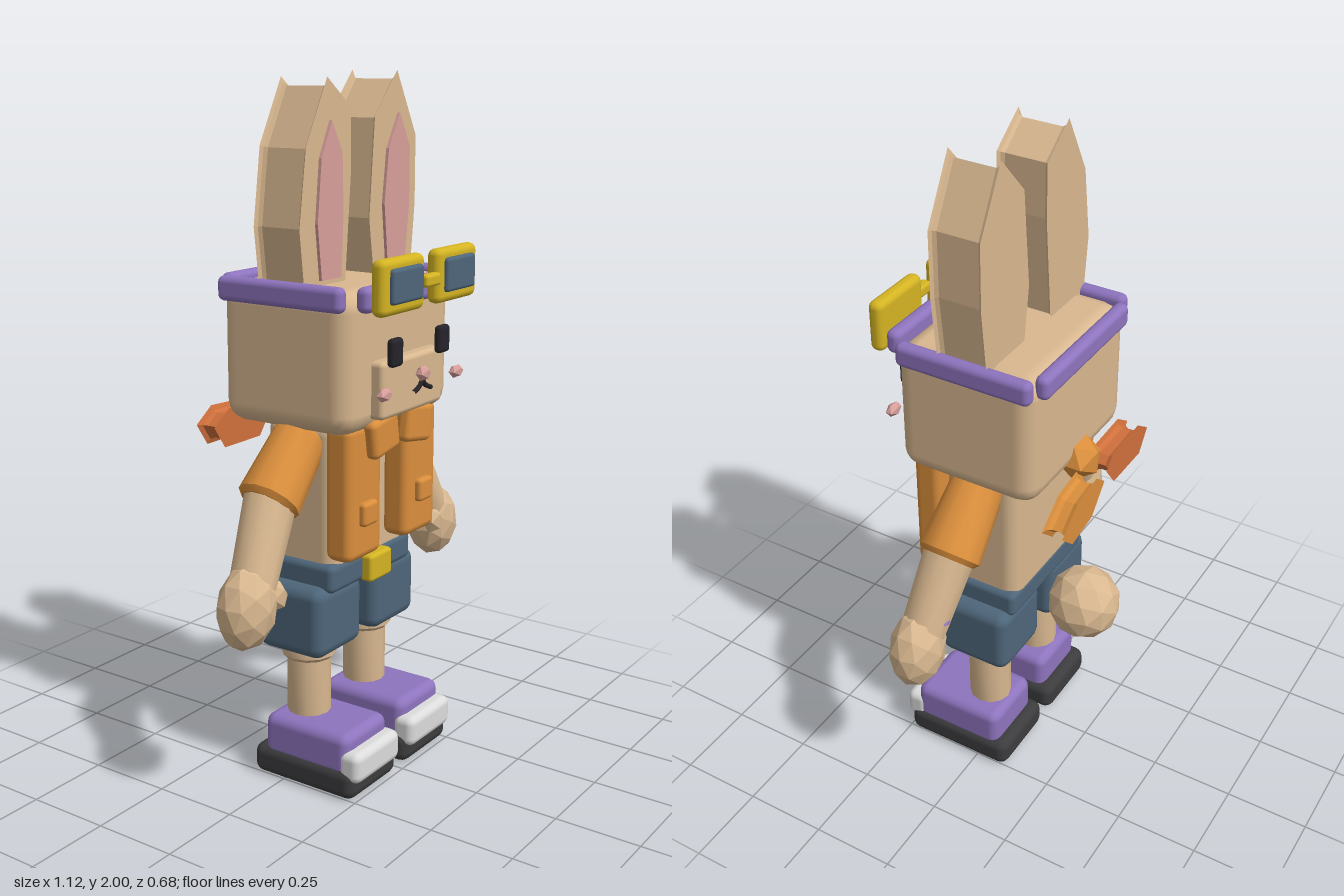
import * as THREE from 'three';
import { toCreasedNormals } from 'three/addons/utils/BufferGeometryUtils.js';
import { RoundedBoxGeometry } from 'three/addons/geometries/RoundedBoxGeometry.js';

const mat = (name, color) => Object.assign(new THREE.MeshStandardMaterial({ color }), { name });

export function createModel() {
  const fur = mat('tan fur', 0xd9b890);
  const pink = mat('pink', 0xd69e9a);
  const orange = mat('orange cloth', 0xda8e3c);
  const rust = mat('rust cloth', 0xd0703c);
  const purple = mat('purple', 0x8e74be);
  const yellow = mat('yellow', 0xd4b422);
  const denim = mat('slate blue', 0x4e667a);
  const charcoal = mat('charcoal rubber', 0x3c3c3e);
  const white = mat('off white', 0xdcdcdc);
  const black = mat('black', 0x26242a);

  const root = new THREE.Group();
  root.name = 'rabbit';

  const add = (name, geo, material, x = 0, y = 0, z = 0) => {
    const m = new THREE.Mesh(geo, material);
    m.name = name;
    m.position.set(x, y, z);
    root.add(m);
    return m;
  };

  // Bevelled box given by its extents
  const box = (name, material, [x0, x1], [y0, y1], [z0, z1], r = 0.02) => {
    const w = x1 - x0, h = y1 - y0, d = z1 - z0;
    const radius = Math.min(r, 0.45 * Math.min(w, h, d));
    return add(name, new RoundedBoxGeometry(w, h, d, 2, radius), material,
      (x0 + x1) / 2, (y0 + y1) / 2, (z0 + z1) / 2);
  };
  // The same box on side s (+1 left, -1 right), extents given for the left
  const sideBox = (s, name, material, [a, b], ys, zs, r) =>
    box(name, material, s > 0 ? [a, b] : [-b, -a], ys, zs, r);

  // Bevelled, tapered limb between two points
  const limb = (name, material, a, b, ra, rb, bevel = 0.015) => {
    const from = new THREE.Vector3(...a), to = new THREE.Vector3(...b);
    const h = from.distanceTo(to);
    const profile = [[0, 0], [ra - bevel, 0], [ra, bevel], [rb, h - bevel], [rb - bevel, h], [0, h]]
      .map(p => new THREE.Vector2(...p));
    const m = add(name, toCreasedNormals(new THREE.LatheGeometry(profile, 12), 0.6), material, ...a);
    m.quaternion.setFromUnitVectors(new THREE.Vector3(0, 1, 0), to.sub(from).normalize());
    return m;
  };

  // Faceted ball
  const ball = (name, material, pos, [rx, ry, rz], detail = 1) => {
    const g = new THREE.IcosahedronGeometry(1, detail).scale(rx, ry, rz);
    g.computeVertexNormals();
    return add(name, g, material, ...pos);
  };

  // Slab with flared front and back rims; waist is how far the middle is pulled in
  const slab = (name, material, pts, z0, z1, waist = 0.017, lip = 0.015) => {
    const shape = new THREE.Shape(pts.map(p => new THREE.Vector2(...p)));
    const g = new THREE.ExtrudeGeometry(shape, waist
      ? { depth: z1 - z0 - 2 * lip, bevelEnabled: true, bevelSize: -waist, bevelThickness: lip, bevelSegments: 2 }
      : { depth: z1 - z0, bevelEnabled: false });
    return add(name, g, material, 0, 0, z0 + (waist ? lip : 0));
  };

  // Head and muzzle
  box('head', fur, [-0.265, 0.265], [1.05, 1.445], [-0.2, 0.233], 0.06);
  box('muzzle', fur, [-0.155, 0.155], [1.09, 1.25], [0.2, 0.27], 0.015);
  ball('nose', pink, [0, 1.2, 0.3], [0.027, 0.023, 0.02], 0);

  // Ears and their inner faces
  slab('leftEar', fur, [[0.075, 1.4], [0.255, 1.4], [0.28, 1.63], [0.28, 1.82], [0.18, 2],
    [0.07, 1.88], [0.045, 1.6]], -0.06, 0.09);
  slab('rightEar', fur, [[-0.255, 1.4], [-0.075, 1.4], [-0.045, 1.74], [-0.045, 1.905],
    [-0.155, 1.985], [-0.25, 1.81], [-0.28, 1.6]], -0.06, 0.09);
  slab('leftInnerEar', pink, [[0.12, 1.46], [0.205, 1.46], [0.228, 1.63], [0.228, 1.79],
    [0.175, 1.885], [0.12, 1.79], [0.1, 1.64]], 0.095, 0.104, 0);
  slab('rightInnerEar', pink, [[-0.2, 1.46], [-0.11, 1.46], [-0.1, 1.63], [-0.105, 1.79],
    [-0.153, 1.875], [-0.2, 1.78], [-0.218, 1.61]], 0.095, 0.104, 0);

  // Headband bars
  box('headbandFront', purple, [-0.235, 0.235], [1.39, 1.46], [0.23, 0.275]);
  box('headbandBack', purple, [-0.23, 0.23], [1.39, 1.46], [-0.222, -0.18]);

  // Goggle bridge
  box('goggleBridge', yellow, [-0.037, 0.037], [1.44, 1.475], [0.3, 0.332], 0.01);

  // Torso, belt and tail
  box('torso', fur, [-0.19, 0.19], [0.62, 1.07], [-0.105, 0.135], 0.045);
  box('waistband', denim, [-0.205, 0.205], [0.58, 0.665], [-0.105, 0.14]);
  box('buckle', yellow, [-0.055, 0.055], [0.58, 0.662], [0.13, 0.172], 0.012);
  ball('tail', fur, [0, 0.553, -0.23], [0.11, 0.114, 0.11]);

  for (const s of [1, -1]) {
    // Face
    sideBox(s, 'eye', black, [0.093, 0.147], [1.237, 1.315], [0.273, 0.298], 0.012);
    ball('cheek', pink, [s * 0.185, 1.173, 0.295], [0.03, 0.02, 0.018], 0);
    const lip = new THREE.CatmullRomCurve3([[0, 1.185], [s * 0.012, 1.168], [s * 0.045, 1.153]]
      .map(([x, y]) => new THREE.Vector3(x, y, 0.297)));
    add('mouth', new THREE.TubeGeometry(lip, 6, 0.007, 6), black);

    // Headband side and goggles
    sideBox(s, 'headbandSide', purple, [0.238, 0.281], [1.39, 1.46], [-0.195, 0.217]);
    sideBox(s, 'goggleFrame', yellow, [0.033, 0.24], [1.385, 1.535], [0.28, 0.325], 0.02);
    sideBox(s, 'goggleLens', denim, [0.06, 0.21], [1.416, 1.51], [0.3, 0.338], 0.01);

    // Vest
    sideBox(s, 'vestPanel', orange, [0.06, 0.225], [0.69, 1.075], [0.125, 0.212], 0.025);
    sideBox(s, 'vestPocket', orange, [0.108, 0.178], [0.79, 0.858], [0.2, 0.232], 0.012);
    const collar = sideBox(s, 'vestCollar', orange, [0.023, 0.15], [0.98, 1.09], [0.198, 0.245], 0.018);
    collar.rotation.z = -s * 0.16;

    // Arms
    limb('sleeve', orange, [s * 0.175, 1.025, 0.018], [s * 0.345, 0.86, 0.022], 0.078, 0.09);
    limb('forearm', fur, [s * 0.315, 0.9, 0.02], [s * 0.45, 0.65, 0.048], 0.076, 0.066);
    ball('hand', fur, [s * 0.47, 0.615, 0.05], [0.092, 0.12, 0.078]).rotation.z = s * 0.2;
    ball('thumb', fur, [s * 0.402, 0.635, 0.095], [0.034, 0.045, 0.034], 0);
    ball('wristBead', purple, [s * 0.425, 0.705, -0.021], [0.02, 0.008, 0.008], 0);

    // Legs
    sideBox(s, 'shortsLeg', denim, [0.03, 0.25], [0.392, 0.6], [-0.1, 0.13], 0.035);
    limb('leg', fur, [s * 0.143, 0.17, 0.015], [s * 0.143, 0.42, 0.015], 0.064, 0.064, 0.01);
    limb('legCuff', fur, [s * 0.143, 0.358, 0.015], [s * 0.143, 0.405, 0.015], 0.08, 0.08, 0.012);

    // Shoes
    sideBox(s, 'shoeUpper', purple, [0.035, 0.252], [0.06, 0.19], [-0.07, 0.222], 0.03);
    sideBox(s, 'shoeToe', white, [0.03, 0.254], [0.052, 0.145], [0.19, 0.263], 0.025);
    sideBox(s, 'shoeSole', charcoal, [0.02, 0.262], [0, 0.09], [-0.105, 0.245], 0.03);
  }

  // Neckerchief knot and tails
  ball('scarfKnot', orange, [0, 1.075, -0.2], [0.07, 0.065, 0.065], 0);
  slab('scarfTailLeft', orange, [[0.01, 1.03], [0.06, 1.07], [0.16, 1.055], [0.25, 0.985],
    [0.19, 0.93], [0.08, 0.95]], -0.285, -0.222, 0.02, 0.018);
  slab('scarfTailRight', rust, [[-0.03, 1.03], [-0.07, 1.068], [-0.22, 1.075], [-0.285, 1.03],
    [-0.24, 0.965], [-0.08, 0.965]], -0.27, -0.205, 0.02, 0.018);

  return root;
}
